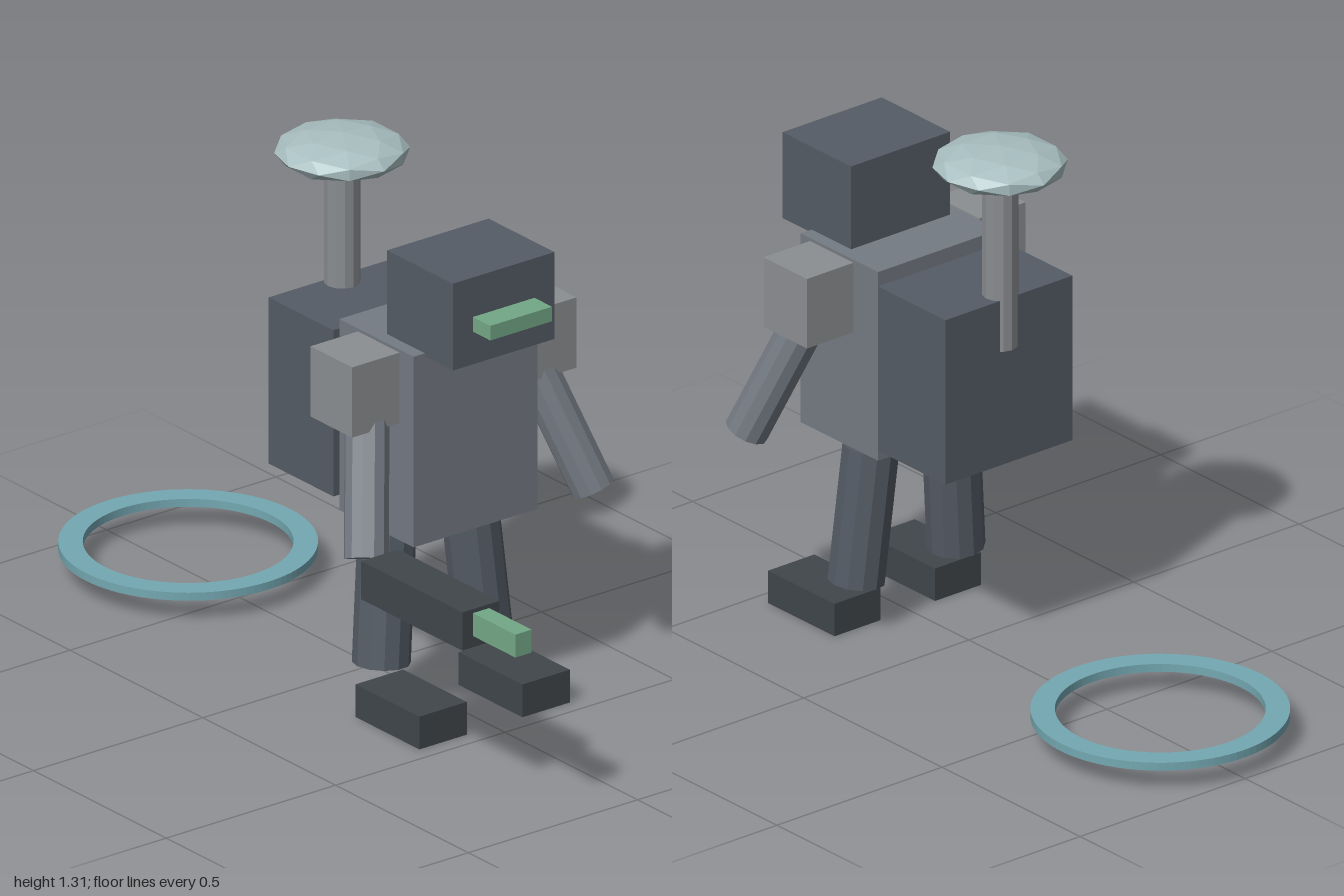
import * as THREE from 'three';

const C = {
  torso: 0x757b84, dark: 0x555c66, shoulder: 0x8c8f92, black: 0x40464b,
  green: 0x74a887, ring: 0x74a8b2, dish: 0xa8bec0, mast: 0x8a8d91,
};

export function createModel() {
  const model = new THREE.Group();
  const robot = new THREE.Group();
  robot.name = 'robot';
  robot.position.x = 0.004;
  model.add(robot);

  const add = (name, geometry, color) => {
    const mesh = new THREE.Mesh(geometry, new THREE.MeshStandardMaterial({ color, flatShading: true }));
    mesh.name = name;
    robot.add(mesh);
    return mesh;
  };

  // Box given by its extents along each axis
  const box = (name, [x0, x1], [y0, y1], [z0, z1], color) =>
    add(name, new THREE.BoxGeometry(x1 - x0, y1 - y0, z1 - z0), color)
      .position.set((x0 + x1) / 2, (y0 + y1) / 2, (z0 + z1) / 2);

  // Capped cylinder between two points
  const rod = (name, from, to, radius, color) => {
    const a = new THREE.Vector3(...from), b = new THREE.Vector3(...to);
    const mesh = add(name, new THREE.CylinderGeometry(radius, radius, a.distanceTo(b), 12), color);
    mesh.position.copy(a).add(b).multiplyScalar(0.5);
    mesh.quaternion.setFromUnitVectors(new THREE.Vector3(0, 1, 0), b.sub(a).normalize());
  };

  // Body, head and backpack
  box('torso', [-0.183, 0.183], [0.477, 0.96], [0.105, 0.385], C.torso);
  box('head', [-0.15, 0.15], [0.952, 1.172], [0.242, 0.49], C.dark);
  box('visor', [-0.091, 0.091], [1.035, 1.072], [0.45, 0.556], C.green);
  box('backpack', [-0.192, 0.192], [0.509, 0.93], [-0.15, 0.094], C.dark);

  // Dish on its mast
  rod('mast', [0, 0.8, -0.118], [0, 1.25, -0.118], 0.043, C.mast);
  const dish = add('dish', new THREE.IcosahedronGeometry(1, 1), C.dish);
  dish.scale.set(0.159, 0.046, 0.159);
  dish.position.set(0, 1.263, -0.118);

  // Mirrored limbs
  for (const [side, s] of [['left', 1], ['right', -1]]) {
    const span = (a, b) => (s > 0 ? [a, b] : [-b, -a]);
    box(side + 'Shoulder', span(0.191, 0.331), [0.78, 0.958], [0.185, 0.342], C.shoulder);
    rod(side + 'Arm', [s * 0.238, 0.82, 0.28], [s * 0.335, 0.495, 0.4], 0.053, C.torso);
    rod(side + 'Leg', [s * 0.12, 0.467, 0.205], [s * 0.151, 0.123, 0.222], 0.069, C.dark);
    box(side + 'Foot', span(0.082, 0.222), [0, 0.083], [0.216, 0.456], C.black);
  }

  // Forearm launcher on the right arm
  box('launcher', [-0.396, -0.287], [0.428, 0.525], [0.459, 0.84], C.black);
  box('launcherBarrel', [-0.365, -0.317], [0.457, 0.515], [0.83, 1.0], C.green);

  // Flat ring lying behind the robot
  const shape = new THREE.Shape().absarc(0, 0, 0.302, 0, Math.PI * 2, false);
  shape.holes.push(new THREE.Path().absarc(0, 0, 0.245, 0, Math.PI * 2, true));
  const ring = add('groundRing', new THREE.ExtrudeGeometry(shape, { depth: 0.02, bevelEnabled: false, curveSegments: 48 }), C.ring);
  ring.rotation.x = -Math.PI / 2;
  ring.position.set(0, 0.054, -0.698);

  return model;
}
